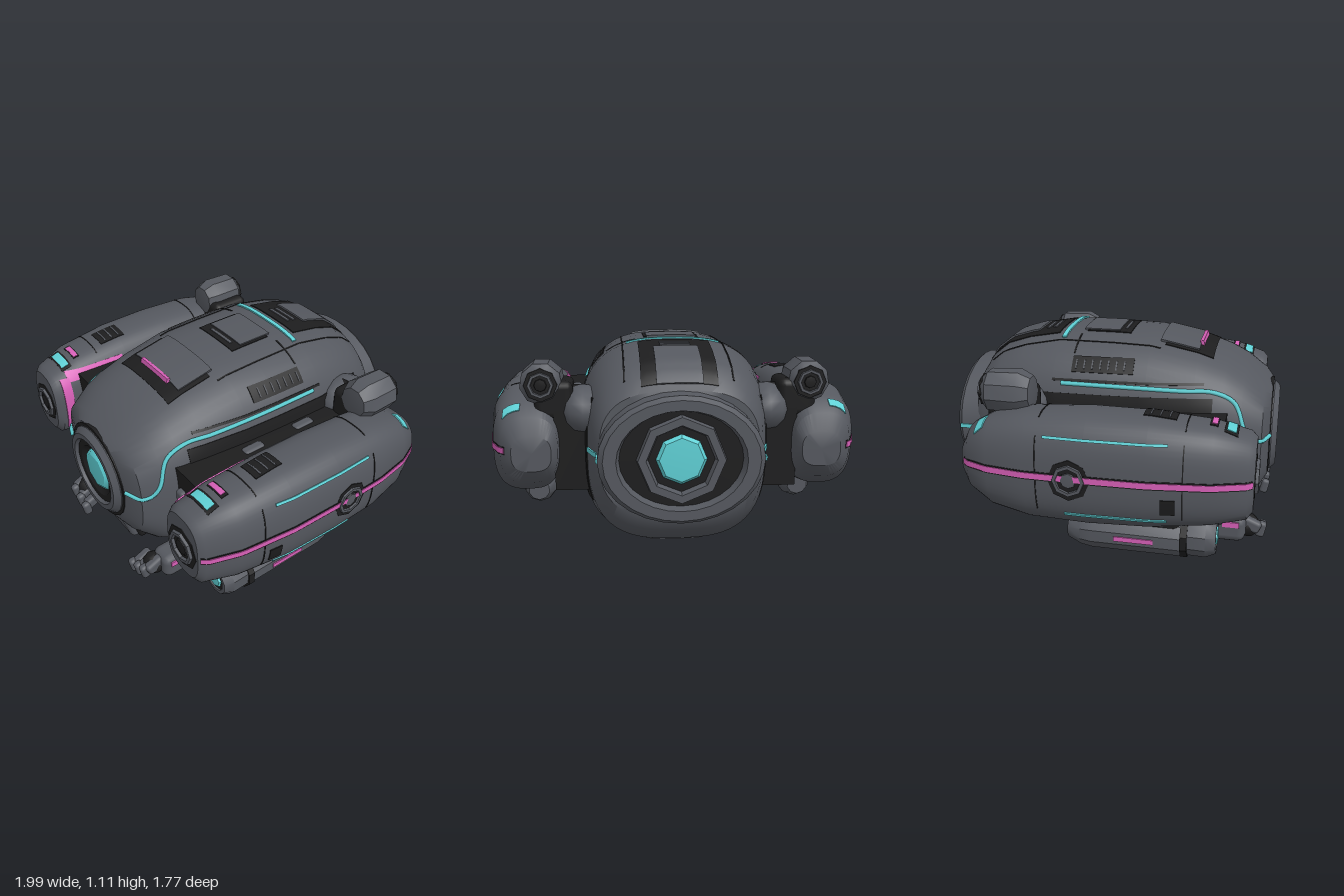
import * as THREE from 'three';
import { toCreasedNormals } from 'three/addons/utils/BufferGeometryUtils.js';
import { RoundedBoxGeometry } from 'three/addons/geometries/RoundedBoxGeometry.js';

const mat = (name, color) => Object.assign(new THREE.MeshStandardMaterial({ color }), { name });
const hull = mat('hull grey', 0x55585f);
const dark = mat('dark recess', 0x1d1d1e);
const cyan = mat('cyan glow', 0x5fd0d5);
const pink = mat('pink glow', 0xd860b8);
const V = (x, y, z) => new THREE.Vector3(x, y, z);
const UP = V(0, 1, 0), DOWN = V(0, -1, 0), OUT = V(1, 0, 0), IN = V(-1, 0, 0);

function add(parent, name, geo, material, x = 0, y = 0, z = 0) {
  const m = new THREE.Mesh(geo, material);
  m.name = name;
  m.position.set(x, y, z);
  parent.add(m);
  return m;
}

function indexed(pos, idx, crease) {
  const g = new THREE.BufferGeometry();
  g.setAttribute('position', new THREE.Float32BufferAttribute(pos, 3));
  g.setIndex(idx);
  return toCreasedNormals(g, crease);
}

// Superellipse hull through rows [z, x0, x1, y0, y1], front to back
function surface(rows, n) {
  const at = z => {
    let i = 0;
    while (i < rows.length - 2 && z < rows[i + 1][0]) i++;
    const a = rows[i], b = rows[i + 1];
    const k = THREE.MathUtils.clamp((a[0] - z) / (a[0] - b[0]), 0, 1);
    const [x0, x1, y0, y1] = [1, 2, 3, 4].map(j => a[j] + (b[j] - a[j]) * k);
    return { cx: (x0 + x1) / 2, cy: (y0 + y1) / 2, hw: (x1 - x0) / 2, hh: (y1 - y0) / 2 };
  };
  const arc = u => Math.pow(Math.max(0, 1 - Math.pow(Math.min(1, Math.abs(u)), n)), 1 / n);
  const pw = c => Math.sign(c) * Math.pow(Math.abs(c), 2 / n);
  const vertical = d => (x, z) => { const s = at(z); return V(x, s.cy + d * s.hh * arc((x - s.cx) / s.hw), z); };
  const sideways = d => (y, z) => { const s = at(z); return V(s.cx + d * s.hw * arc((y - s.cy) / s.hh), y, z); };
  return {
    top: vertical(1), bottom: vertical(-1), side: sideways(1), inner: sideways(-1),
    geometry() {
      const N = 48, pos = [], idx = [], last = rows.length - 1;
      rows.forEach(([z]) => {
        const s = at(z);
        for (let j = 0; j < N; j++) {
          const t = j / N * Math.PI * 2;
          pos.push(s.cx + s.hw * pw(Math.cos(t)), s.cy + s.hh * pw(Math.sin(t)), z);
        }
      });
      const f = pos.length / 3;
      [0, last].forEach(i => { const s = at(rows[i][0]); pos.push(s.cx, s.cy, rows[i][0]); });
      for (let j = 0; j < N; j++) {
        const k = (j + 1) % N;
        for (let i = 0; i < last; i++) {
          const a = i * N + j, b = i * N + k;
          idx.push(a, a + N, b, b, a + N, b + N);
        }
        idx.push(f, j, k, f + 1, last * N + k, last * N + j);
      }
      return indexed(pos, idx, 0.6);
    }
  };
}

// Thin plate that follows a surface function, with a skirt round its edge
function plate(parent, name, f, out, u0, u1, v0, v1, h, material) {
  const nu = Math.max(2, Math.ceil((u1 - u0) / 0.03)) + 2;
  const nv = Math.max(2, Math.ceil((v1 - v0) / 0.03)) + 2;
  const pos = [], idx = [], e = 0.004;
  let sign = 1;
  for (let i = 0; i <= nu; i++) for (let j = 0; j <= nv; j++) {
    const ku = THREE.MathUtils.clamp((i - 1) / (nu - 2), 0, 1), kv = THREE.MathUtils.clamp((j - 1) / (nv - 2), 0, 1);
    const u = u0 + (u1 - u0) * ku, v = v0 + (v1 - v0) * kv;
    const du = f(u + e, v).sub(f(u - e, v)), dv = f(u, v + e).sub(f(u, v - e));
    const nrm = du.cross(dv).normalize();
    sign = nrm.dot(out) < 0 ? -1 : 1;
    const rim = i === 0 || j === 0 || i === nu || j === nv;
    pos.push(...f(u, v).addScaledVector(nrm, sign * (rim ? -0.012 : h)).toArray());
  }
  for (let i = 0; i < nu; i++) for (let j = 0; j < nv; j++) {
    const a = i * (nv + 1) + j, c = a + nv + 1;
    if (sign < 0) idx.push(a, a + 1, c, c, a + 1, c + 1);
    else idx.push(a, c, a + 1, a + 1, c, c + 1);
  }
  return add(parent, name, indexed(pos, idx, 0.6), material);
}

// Solid turned around z: points are [radius, z]
function turned(parent, name, pts, material, x, y, z, sides) {
  const g = new THREE.LatheGeometry(pts.map(p => new THREE.Vector2(p[0], p[1])), sides);
  g.rotateX(Math.PI / 2);
  return add(parent, name, toCreasedNormals(g, 0.6), material, x, y, z);
}

// Round socket facing +z: dark rim, grey ring and a centre disc
function port(parent, name, r, centre, sides = 8) {
  const g = new THREE.Group();
  g.name = name;
  turned(g, 'socketRim', [[r, -0.04], [r, 0.01], [0, 0.01]], dark, 0, 0, 0, sides);
  turned(g, 'socketRing', [[r * 0.8, 0], [r * 0.76, 0.025], [r * 0.6, 0.025], [r * 0.56, 0]], hull, 0, 0, 0, sides);
  turned(g, 'socketCentre', [[r * 0.42, 0], [r * 0.36, 0.018], [0, 0.022]], centre, 0, 0, 0, sides);
  parent.add(g);
  return g;
}

const body = surface([
  [0.85, -0.27, 0.27, 0.31, 0.83], [0.81, -0.38, 0.38, 0.26, 0.87], [0.7, -0.435, 0.435, 0.15, 0.95],
  [0.6, -0.46, 0.46, 0.09, 1.0], [0.45, -0.475, 0.475, 0.05, 1.05], [0.2, -0.495, 0.495, 0.03, 1.1],
  [0, -0.505, 0.505, 0.02, 1.105], [-0.3, -0.51, 0.51, 0.04, 1.105], [-0.5, -0.485, 0.485, 0.06, 1.07],
  [-0.63, -0.455, 0.455, 0.09, 1.03], [-0.72, -0.425, 0.425, 0.17, 0.96], [-0.76, -0.4, 0.4, 0.25, 0.9]], 2.9);

const pod = surface([
  [0.8, 0.6, 0.86, 0.4, 0.76], [0.77, 0.58, 0.89, 0.36, 0.79], [0.6, 0.575, 0.945, 0.33, 0.84],
  [0.3, 0.575, 0.98, 0.3, 0.87], [0, 0.58, 0.985, 0.29, 0.875], [-0.3, 0.59, 0.98, 0.3, 0.86],
  [-0.5, 0.6, 0.95, 0.34, 0.82], [-0.62, 0.61, 0.9, 0.41, 0.75], [-0.67, 0.64, 0.84, 0.48, 0.66]], 2.8);

function buildBody(g) {
  add(g, 'bodyShell', body.geometry(), hull);
  const top = (n, x0, x1, z0, z1, h, m) => plate(g, n, body.top, UP, x0, x1, z0, z1, h, m);
  const low = (n, x0, x1, z0, z1, h, m) => plate(g, n, body.bottom, DOWN, x0, x1, z0, z1, h, m);

  // Roof panels and hatches
  top('frontHatchSeam', -0.23, 0.23, 0.27, 0.53, 0.004, dark);
  top('frontHatch', -0.205, 0.205, 0.24, 0.45, 0.012, hull);
  add(g, 'roofLight', new THREE.BoxGeometry(0.25, 0.036, 0.02), pink, 0, 1.052, 0.458).rotation.x = -0.2;
  top('middleHatchSeam', -0.15, 0.15, -0.18, 0.065, 0.004, dark);
  top('middleHatch', -0.135, 0.135, -0.2, 0.0, 0.01, hull);
  top('middleGrille', -0.09, 0.09, 0.02, 0.035, 0.008, hull);
  top('roofStripe', -0.25, 0.25, -0.3, -0.276, 0.008, cyan);
  top('rearHatchFrame', -0.19, 0.19, -0.74, -0.33, 0.005, dark);
  top('rearHatch', -0.115, 0.115, -0.74, -0.47, 0.014, hull);
  for (const z of [-0.44, -0.4]) top('rearGrille', -0.08, 0.08, z, z + 0.02, 0.01, hull);

  // Belly panels
  low('bellyFrame', -0.19, 0.19, -0.6, -0.28, 0.004, dark);
  low('bellyRearPanel', -0.14, 0.14, -0.57, -0.32, 0.012, hull);
  low('bellySlot', -0.16, 0.16, -0.06, 0.03, 0.004, dark);
  low('bellyFrontSeam', -0.22, 0.22, 0.4, 0.42, 0.003, dark);

  // Chin
  add(g, 'chinRecess', new RoundedBoxGeometry(0.3, 0.25, 0.14, 2, 0.03), dark, 0, 0.195, 0.68).rotation.x = 0.3;
  const chin = add(g, 'chinPlate', new RoundedBoxGeometry(0.26, 0.27, 0.16, 2, 0.03), hull, 0, 0.215, 0.71);
  chin.rotation.x = 0.3;
  add(chin, 'chinLight', new RoundedBoxGeometry(0.11, 0.03, 0.008, 1, 0.003), cyan, 0, 0.085, 0.081);

  // Front eye
  turned(g, 'eyeSeam', [[0.28, 0.78], [0.274, 0.855], [0.2, 0.856]], dark, 0, 0.57, 0, 24);
  turned(g, 'eyeRing', [[0.264, 0.8], [0.255, 0.86], [0.225, 0.89], [0.195, 0.89], [0.18, 0.85]], hull, 0, 0.57, 0, 24);
  turned(g, 'eyeSocket', [[0.19, 0.82], [0.186, 0.872], [0.15, 0.872], [0.125, 0.855], [0, 0.855]], dark, 0, 0.57, 0, 16);
  turned(g, 'eyeLens', [[0.125, 0.855], [0.1, 0.872], [0, 0.876]], cyan, 0, 0.57, 0, 7);

  // Rear engine, facing backwards
  const rear = new THREE.Group();
  rear.name = 'rearEngine';
  rear.position.y = 0.575;
  rear.rotation.y = Math.PI;
  g.add(rear);
  turned(rear, 'engineRing', [[0.325, 0.72], [0.32, 0.86], [0.3, 0.885], [0.25, 0.885], [0.235, 0.82]], hull, 0, 0, 0, 28).scale.x = 1.28;
  turned(rear, 'engineWell', [[0.25, 0.75], [0.25, 0.835], [0, 0.835]], dark, 0, 0, 0, 24).scale.x = 1.25;
  turned(rear, 'engineInnerRing', [[0.225, 0.82], [0.215, 0.87], [0.175, 0.87], [0.16, 0.82]], hull, 0, 0, 0, 8);
  turned(rear, 'engineLens', [[0.13, 0.83], [0.11, 0.855], [0, 0.86]], cyan, 0, 0, 0, 8);
}

function buildSide(g) {
  const skin = (n, y0, y1, z0, z1, h, m) => plate(g, n, body.side, OUT, y0, y1, z0, z1, h, m);
  const outer = (n, y0, y1, z0, z1, h, m) => plate(g, n, pod.side, OUT, y0, y1, z0, z1, h, m);
  const inner = (n, y0, y1, z0, z1, h, m) => plate(g, n, pod.inner, IN, y0, y1, z0, z1, h, m);
  const upper = (n, x0, x1, z0, z1, h, m) => plate(g, n, pod.top, UP, x0, x1, z0, z1, h, m);

  // Body flank: seams, vent, light strip
  plate(g, 'roofSeam', body.top, UP, 0.268, 0.275, -0.7, 0.25, 0.003, dark);
  plate(g, 'roofCrossSeam', body.top, UP, 0.2, 0.36, -0.205, -0.197, 0.003, dark);
  plate(g, 'bellySeam', body.bottom, DOWN, 0.262, 0.278, -0.55, 0.4, 0.003, dark);
  skin('flankSeam', 0.9, 0.912, -0.3, 0.5, 0.003, dark);
  skin('flankVent', 0.945, 1.015, -0.2, 0.13, 0.005, dark);
  for (let i = 0; i < 7; i++) skin('ventFin', 0.96, 1.0, -0.18 + i * 0.043, -0.173 + i * 0.043, 0.008, hull);
  skin('flankRecess', 0.3, 0.84, -0.6, 0.55, 0.004, dark);
  const path = [[0.89, -0.25], [0.885, 0.1], [0.875, 0.4], [0.87, 0.55], [0.82, 0.66], [0.68, 0.72], [0.625, 0.76], [0.61, 0.81]]
    .map(([y, z]) => body.side(y, z));
  path.push(V(0.285, 0.61, 0.851));
  add(g, 'lightStrip', new THREE.TubeGeometry(new THREE.CatmullRomCurve3(path), 60, 0.012, 5), cyan);
  skin('rearStripe', 0.568, 0.592, -0.75, -0.62, 0.008, cyan);
  add(g, 'engineStripe', new THREE.BoxGeometry(0.008, 0.022, 0.11), cyan, 0.413, 0.58, -0.81);

  // Bridge between body and pod
  add(g, 'bridge', new THREE.BoxGeometry(0.2, 0.42, 1.2), dark, 0.53, 0.56, 0.03);
  add(g, 'bridgeFin', new RoundedBoxGeometry(0.06, 0.13, 0.08, 2, 0.02), hull, 0.49, 0.6, 0.62);
  for (const z of [0.22, -0.12])
    add(g, 'bridgeBlock', new RoundedBoxGeometry(0.06, 0.06, 0.13, 2, 0.02), hull, 0.54, 0.75, z);
  add(g, 'shoulderJoint', new THREE.SphereGeometry(0.13, 12, 8), hull, 0.48, 0.76, -0.47).scale.z = 1.25;
  turned(g, 'shoulderHub', [[0, -0.08], [0.1, -0.08], [0.1, 0.08], [0, 0.08]], dark, 0.56, 0.79, -0.46, 8).rotation.y = Math.PI / 2;

  // Pod shell, seams, stripes and vents
  add(g, 'podShell', pod.geometry(), hull);
  for (const z of [-0.24, 0.47]) {
    outer('podSeam', 0.4, 0.78, z, z + 0.006, 0.003, dark);
    upper('podTopSeam', 0.65, 0.88, z, z + 0.006, 0.003, dark);
  }
  outer('podSeamLong', 0.562, 0.605, -0.64, 0.79, 0.003, dark);
  outer('podStripe', 0.569, 0.598, -0.64, 0.79, 0.007, pink);
  outer('podUpperStripe', 0.77, 0.783, -0.2, 0.4, 0.006, cyan);
  outer('podLowerStripe', 0.38, 0.393, -0.1, 0.4, 0.006, cyan);
  outer('podSideVent', 0.43, 0.51, 0.37, 0.44, 0.005, dark);
  upper('podRearLight', 0.8, 0.885, -0.575, -0.53, 0.006, cyan);
  upper('podTopVent', 0.69, 0.81, 0.26, 0.42, 0.004, dark);
  for (let i = 0; i < 3; i++) upper('podVentFin', 0.7, 0.8, 0.29 + i * 0.045, 0.298 + i * 0.045, 0.008, hull);
  upper('podPinkSeam', 0.68, 0.8, 0.575, 0.615, 0.004, dark);
  upper('podPinkLight', 0.685, 0.785, 0.583, 0.609, 0.008, pink);
  upper('podCyanSeam', 0.65, 0.82, 0.645, 0.71, 0.003, dark);
  upper('podCyanLight', 0.665, 0.8, 0.655, 0.7, 0.007, cyan);
  inner('podInnerStripe', 0.735, 0.79, 0.33, 0.7, 0.006, pink);
  inner('podInnerLight', 0.43, 0.76, 0.69, 0.745, 0.007, pink);
  port(g, 'podFrontPort', 0.118, dark).position.set(0.73, 0.57, 0.793);
  const sidePort = port(g, 'podSidePort', 0.105, hull);
  sidePort.position.set(0.978, 0.575, -0.07);
  sidePort.rotation.y = Math.PI / 2;
  sidePort.scale.z = 0.7;

  // Upper thruster, opening to the rear
  add(g, 'thrusterNeck', new RoundedBoxGeometry(0.2, 0.2, 0.24, 2, 0.04), dark, 0.63, 0.82, -0.45);
  turned(g, 'thruster', [[0, -0.13], [0.08, -0.13], [0.11, -0.1], [0.115, 0.06], [0.085, 0.12], [0, 0.13]], hull, 0.69, 0.905, -0.45, 9);
  const jet = port(g, 'thrusterPort', 0.085, dark);
  jet.position.set(0.69, 0.905, -0.575);
  jet.rotation.y = Math.PI;

  // Gun slung under the pod
  add(g, 'gunMount', new RoundedBoxGeometry(0.17, 0.14, 0.5, 2, 0.03), dark, 0.74, 0.32, 0.2);
  turned(g, 'gunBody', [[0, -0.13], [0.06, -0.13], [0.09, -0.06], [0.1, 0], [0.1, 0.45], [0.085, 0.48], [0, 0.48]], hull, 0.76, 0.215, 0, 10);
  turned(g, 'gunCollar', [[0, 0.455], [0.115, 0.455], [0.115, 0.49], [0, 0.49]], dark, 0.76, 0.23, 0, 10);
  turned(g, 'gunMuzzle', [[0, 0.485], [0.11, 0.485], [0.112, 0.58], [0.09, 0.63], [0.07, 0.63], [0.06, 0.6]], hull, 0.755, 0.235, 0, 10);
  turned(g, 'gunBore', [[0.075, 0.58], [0.072, 0.622], [0, 0.622]], dark, 0.755, 0.235, 0, 10);
  turned(g, 'gunLens', [[0.052, 0.615], [0.044, 0.634], [0, 0.638]], cyan, 0.755, 0.235, 0, 7);
  add(g, 'gunLight', new THREE.BoxGeometry(0.008, 0.025, 0.2), pink, 0.857, 0.215, 0.22);

  // Claw arm under the body
  add(g, 'clawJoint', new THREE.SphereGeometry(0.1, 10, 8), dark, 0.4, 0.2, 0.52);
  add(g, 'clawElbow', new THREE.SphereGeometry(0.085, 10, 8), hull, 0.43, 0.2, 0.59);
  add(g, 'clawArm', new RoundedBoxGeometry(0.15, 0.15, 0.26, 2, 0.045), hull, 0.415, 0.125, 0.63);
  add(g, 'clawLight', new THREE.BoxGeometry(0.008, 0.03, 0.09), pink, 0.491, 0.16, 0.68);
  add(g, 'clawWrist', new THREE.SphereGeometry(0.065, 8, 6), dark, 0.38, 0.115, 0.77);
  for (const [x, y] of [[0.41, 0.135], [0.35, 0.105], [0.29, 0.08]]) {
    add(g, 'clawKnuckle', new RoundedBoxGeometry(0.055, 0.07, 0.11, 2, 0.02), hull, x, y, 0.785).rotation.x = 0.4;
    add(g, 'clawTip', new RoundedBoxGeometry(0.045, 0.09, 0.05, 2, 0.018), hull, x - 0.015, y - 0.03, 0.84).rotation.x = 0.2;
  }
}

export function createModel() {
  const model = new THREE.Group();
  model.name = 'drone';
  const centre = new THREE.Group();
  centre.name = 'body';
  buildBody(centre);
  model.add(centre);
  for (const s of [1, -1]) {
    const side = new THREE.Group();
    side.name = s > 0 ? 'leftSide' : 'rightSide';
    buildSide(side);
    side.scale.x = s;
    model.add(side);
  }
  return model;
}
